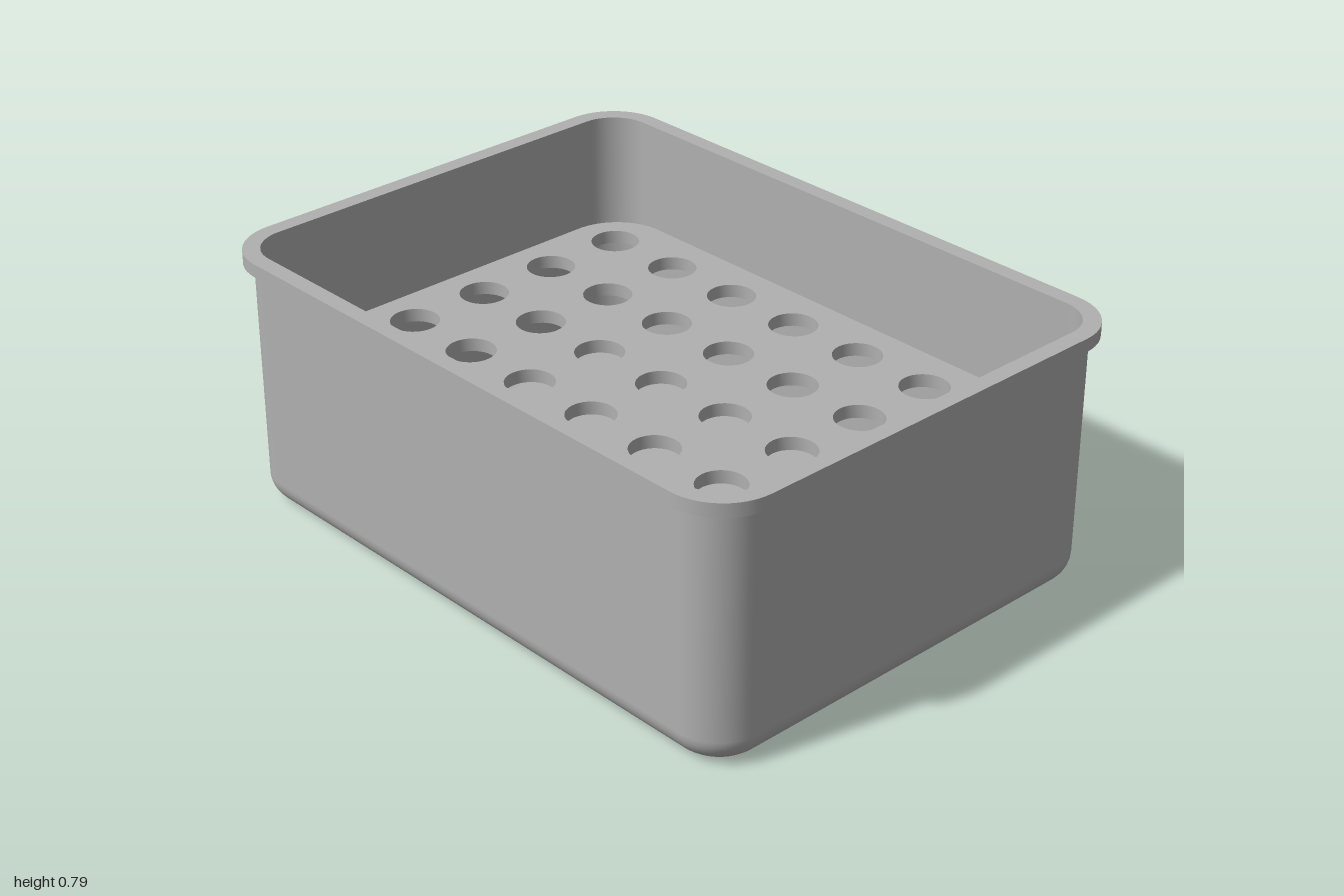
import * as THREE from 'three';
import { toCreasedNormals } from 'three/addons/utils/BufferGeometryUtils.js';

// Every ring of the tub is this rectangle's corners offset outward by a radius.
const CORE_X = 0.83, CORE_Z = 0.575, STEPS = 12;

// Sweep profile strips of [radius, y, normalOut, normalUp] around the rounded rectangle.
function sweep(strips) {
  const pos = [], nor = [], index = [];
  const n = 4 * (STEPS + 1);
  for (const strip of strips) {
    const base = pos.length / 3;
    for (const [r, y, out, up] of strip) {
      for (let c = 0; c < 4; c++) {
        const sx = c === 0 || c === 3 ? 1 : -1, sz = c < 2 ? 1 : -1;
        for (let k = 0; k <= STEPS; k++) {
          const a = (c + k / STEPS) * Math.PI / 2;
          pos.push(sx * CORE_X + r * Math.cos(a), y, sz * CORE_Z + r * Math.sin(a));
          nor.push(out * Math.cos(a), up, out * Math.sin(a));
        }
      }
    }
    for (let j = 0; j < strip.length - 1; j++) {
      for (let i = 0; i < n; i++) {
        const a = base + j * n + i, b = base + j * n + (i + 1) % n;
        index.push(a, a + n, b, b, a + n, b + n);
      }
    }
  }
  const g = new THREE.BufferGeometry();
  g.setAttribute('position', new THREE.Float32BufferAttribute(pos, 3));
  g.setAttribute('normal', new THREE.Float32BufferAttribute(nor, 3));
  g.setIndex(index);
  return g;
}

// Straight strip between two profile points
function line(r0, y0, r1, y1) {
  const l = Math.hypot(r1 - r0, y1 - y0), out = (y1 - y0) / l, up = (r0 - r1) / l;
  return [[r0, y0, out, up], [r1, y1, out, up]];
}

// Quarter-round strip between floor and wall; sign -1 makes it concave
function fillet(r, y, radius, sign) {
  const strip = [];
  for (let k = 0; k <= 8; k++) {
    const t = sign > 0 ? k / 8 - 1 : -k / 8;
    const c = Math.cos(t * Math.PI / 2), s = Math.sin(t * Math.PI / 2);
    strip.push([r + radius * c, y + radius * s, sign * c, sign * s]);
  }
  return strip;
}

function roundedRect(hx, hz, r) {
  const s = new THREE.Shape();
  s.absarc(hx - r, hz - r, r, 0, Math.PI / 2);
  s.absarc(r - hx, hz - r, r, Math.PI / 2, Math.PI);
  s.absarc(r - hx, r - hz, r, Math.PI, Math.PI * 1.5);
  s.absarc(hx - r, r - hz, r, Math.PI * 1.5, Math.PI * 2);
  s.closePath();
  return s;
}

export function createModel() {
  const group = new THREE.Group();
  group.name = 'drainingBox';
  const grey = new THREE.MeshStandardMaterial({ color: 0xb0b0b0 });
  grey.name = 'grey';
  const add = (name, geometry) => {
    const m = new THREE.Mesh(geometry, grey);
    m.name = name;
    group.add(m);
    return m;
  };

  // Tub walls, rim and rounded base edges
  add('outerWall', sweep([fillet(0.06, 0.08, 0.08, 1), line(0.14, 0.08, 0.14, 0.745)]));
  add('rim', sweep([
    line(0.14, 0.745, 0.17, 0.745),
    line(0.17, 0.745, 0.17, 0.785),
    line(0.17, 0.785, 0.12, 0.785),
  ]));
  add('innerWall', sweep([line(0.12, 0.785, 0.12, 0.08), fillet(0.06, 0.08, 0.06, -1)]));

  // Flat floor, inside and underneath
  const floor = new THREE.ShapeGeometry(roundedRect(CORE_X + 0.06, CORE_Z + 0.06, 0.06), STEPS);
  add('innerFloor', floor.clone().rotateX(-Math.PI / 2).translate(0, 0.02, 0));
  add('underside', floor.clone().rotateX(Math.PI / 2));

  // Perforated tray with a 7 by 5 grid of round holes
  const tray = roundedRect(0.9, 0.665, 0.17);
  for (let i = -3; i <= 3; i++) {
    for (let j = -2; j <= 2; j++) {
      const hole = new THREE.Path();
      hole.absarc(i * 0.253, j * 0.258, 0.072, 0, Math.PI * 2, true);
      tray.holes.push(hole);
    }
  }
  const trayGeometry = new THREE.ExtrudeGeometry(tray, { depth: 0.04, bevelEnabled: false, curveSegments: 16 });
  trayGeometry.rotateX(-Math.PI / 2).translate(0, 0.43, 0);
  add('perforatedTray', toCreasedNormals(trayGeometry, 0.6));

  return group;
}
